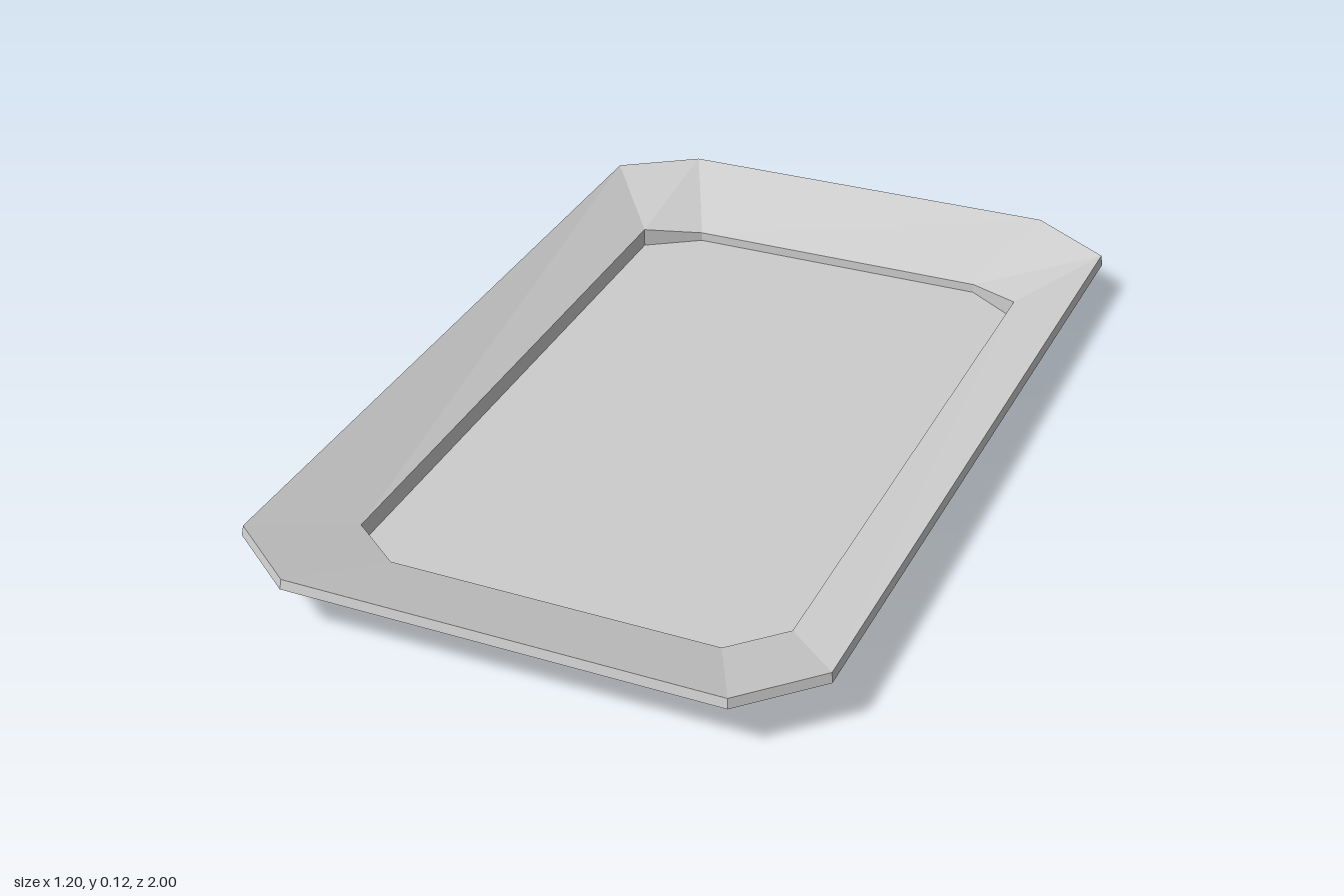
import * as THREE from 'three';

// Bands of quads joining successive eight-sided rings
function bands(rings) {
  const p = [];
  for (let r = 0; r < rings.length - 1; r++) {
    const a = rings[r], b = rings[r + 1];
    for (let i = 0; i < 8; i++) {
      const j = (i + 1) % 8;
      p.push(...a[i], ...a[j], ...b[j], ...a[i], ...b[j], ...b[i]);
    }
  }
  return p;
}

// Flat cap over a convex ring, facing up or down
function cap(ring, up) {
  const p = [];
  for (let i = 1; i < 7; i++) {
    const [b, c] = up ? [ring[i], ring[i + 1]] : [ring[i + 1], ring[i]];
    p.push(...ring[0], ...b, ...c);
  }
  return p;
}

// Ring from an [x, z] outline and a height rule y(x, z)
const ring = (outline, y, inset = 0) => outline.map(([x, z]) =>
  [x * (1 - inset), y(x, z), z * (1 - inset)]);

export function createModel() {
  const group = new THREE.Group();
  const grey = new THREE.MeshStandardMaterial({ color: 0xcccccc, flatShading: true });
  grey.name = 'light grey';

  const add = (name, positions) => {
    const g = new THREE.BufferGeometry();
    g.setAttribute('position', new THREE.Float32BufferAttribute(positions, 3));
    g.computeVertexNormals();
    const m = new THREE.Mesh(g, grey);
    m.name = name;
    group.add(m);
  };

  // Chamfered rectangles, anticlockwise from the front when seen from above
  const outer = [[-0.44, 0.985], [0.46, 0.998], [0.6, 0.855], [0.6, -0.88],
    [0.42, -1], [-0.44, -0.99], [-0.6, -0.88], [-0.6, 0.855]];
  const inner = [[-0.34, 0.75], [0.35, 0.76], [0.45, 0.66], [0.45, -0.7],
    [0.33, -0.78], [-0.34, -0.775], [-0.455, -0.7], [-0.455, 0.66]];
  const base = [[-0.35, 0.775], [0.357, 0.78], [0.463, 0.67], [0.463, -0.69],
    [0.345, -0.785], [-0.35, -0.78], [-0.467, -0.69], [-0.467, 0.67]];

  // The rim sinks gently toward the back; the lip drops at the back edge
  const rimLow = (x, z) => 0.0925 + 0.0125 * z;
  const rimHigh = (x, z) => 0.115 + 0.01 * z;
  const lipHeight = (x, z) => (z < -0.74 ? 0.024 : 0.045);
  const seam = (x, z) => (z < -0.74 ? 0.02 : 0.04);

  const foot = ring(base, () => 0);
  const shoulder = ring(base, seam);
  const rimBottom = ring(outer, rimLow);
  const rimTop = ring(outer, rimHigh, 0.004);
  const lip = ring(inner, lipHeight);
  const floor = ring(inner, () => 0.004);

  add('foot', [...cap(foot, false), ...bands([foot, shoulder])]);
  add('flangeUnderside', bands([shoulder, rimBottom]));
  add('rim', bands([rimBottom, rimTop]));
  add('flangeTop', bands([rimTop, lip]));
  add('wellWall', bands([lip, floor]));
  add('trayFloor', cap(floor, true));
  return group;
}
